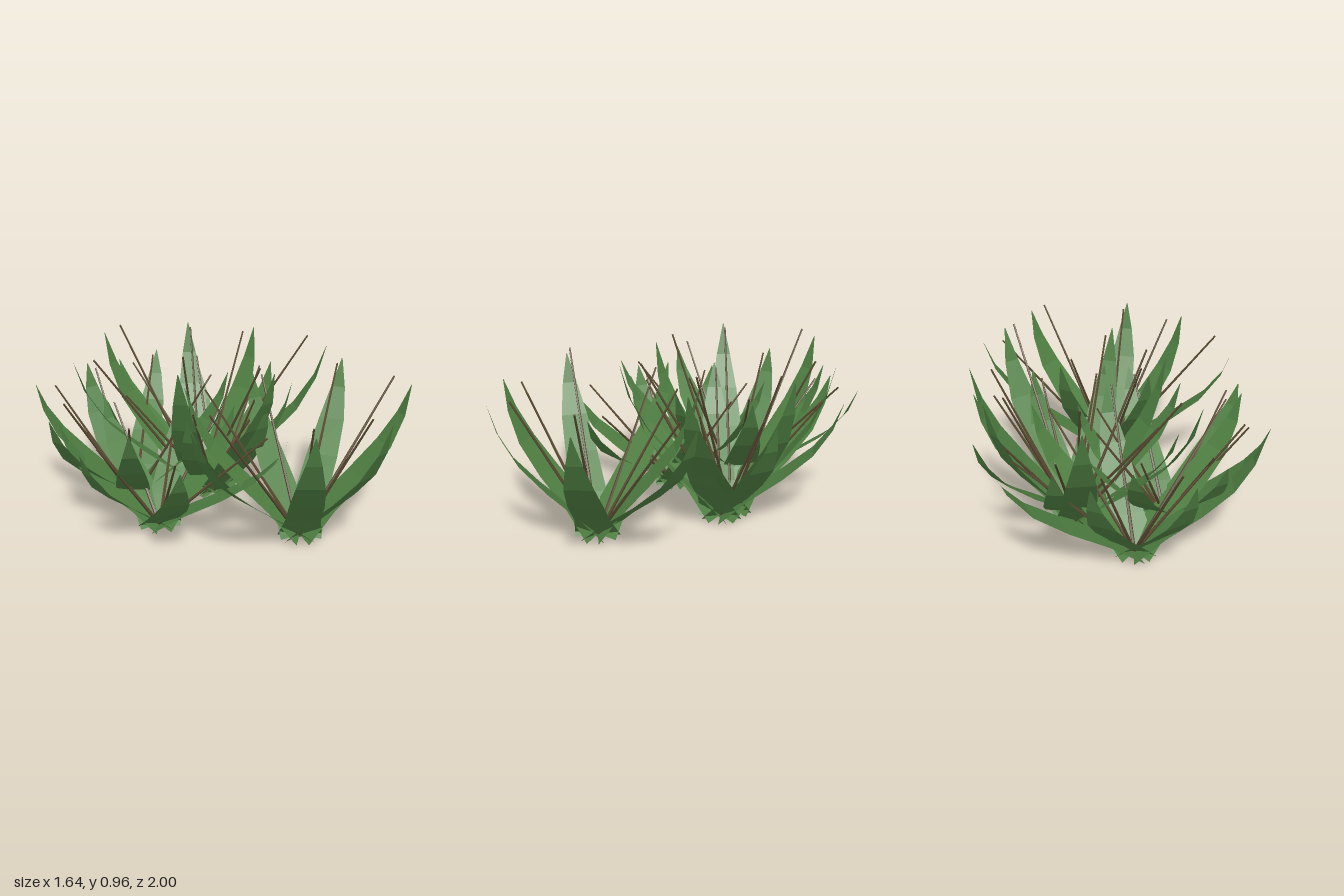
import * as THREE from 'three';

const leafMat = new THREE.MeshStandardMaterial({ color: 0x4f7f42, flatShading: true, side: THREE.DoubleSide });
const stalkMat = new THREE.MeshStandardMaterial({ color: 0x5a4a32, flatShading: true });

// Five tufts: centre, height and the ground position [x, z] below each leaf tip;
// a third value raises the stalk above the leaf
const TUFTS = [
  { x: 0.16, z: 0.48, h: 0.8, tips: [[0.82, 0.2], [0.71, 0.74, 0.06], [0.16, 1], [-0.21, 0.85], [-0.57, 0.42, 0.06], [-0.18, -0.05], [0.3, -0.03]] },
  { x: -0.3, z: -0.14, h: 0.6, tips: [[-0.82, -0.1], [-0.61, 0.39], [0.04, 0.48], [0.2, -0.06], [0.12, -0.4], [-0.23, -0.68], [-0.65, -0.53]] },
  { x: 0.16, z: -0.29, h: 0.9, tips: [[0.67, -0.36], [0.68, 0.19, 0.06], [0.1, 0.32], [-0.26, -0.01, 0.06], [-0.52, -0.54], [-0.05, -0.89, 0.06], [0.46, -0.72]] },
  { x: -0.2, z: -0.48, h: 0.7, tips: [[-0.81, -0.36, 0.06], [-0.55, -0.88], [-0.11, -1], [0.37, -0.92], [0.38, -0.29], [0.06, 0, 0.06], [-0.65, 0.07]] },
  { x: 0.2, z: -0.21, h: 0.7, tips: [[0.71, -0.25], [0.52, -0.74], [0.08, -0.93], [-0.4, -0.43], [-0.32, 0.12], [0.13, 0.25], [0.5, 0.1]] },
];

// Blade cross-sections from base to tip: share of the reach, half width
const REACH = [0, 0.25, 0.53, 0.77, 0.92, 1];
const HALF_WIDTH = [0.12, 0.092, 0.088, 0.072, 0.04, 0.002];
const BASE_Y = 0.015;

// Flat ribbon curving outwards along +x and then upwards
function leafGeometry(reach, height) {
  const pos = [], index = [];
  REACH.forEach((f, i) => {
    const y = BASE_Y + (height - BASE_Y) * i / (REACH.length - 1);
    pos.push(f * reach, y, HALF_WIDTH[i], f * reach, y, -HALF_WIDTH[i]);
    if (i > 0) {
      const a = 2 * (i - 1);
      index.push(a, a + 1, a + 2, a + 1, a + 3, a + 2);
    }
  });
  const geo = new THREE.BufferGeometry();
  geo.setAttribute('position', new THREE.Float32BufferAttribute(pos, 3));
  geo.setIndex(index);
  geo.computeVertexNormals();
  return geo;
}

// Thin straight stalk on the inner side of a leaf, ending short of its tip
function stalk(reach, height) {
  const start = new THREE.Vector3(0, 0.01, 0);
  const dir = new THREE.Vector3(reach - 0.11, height, 0).sub(start);
  const mesh = new THREE.Mesh(new THREE.CylinderGeometry(0.005, 0.01, dir.length(), 5), stalkMat);
  mesh.position.copy(start).addScaledVector(dir, 0.5);
  mesh.quaternion.setFromUnitVectors(new THREE.Vector3(0, 1, 0), dir.normalize());
  mesh.name = 'stalk';
  return mesh;
}

export function createModel() {
  const model = new THREE.Group();
  model.name = 'plantCluster';
  for (const { x, z, h, tips } of TUFTS) {
    const tuft = new THREE.Group();
    tuft.name = 'tuft';
    tuft.position.set(x, 0, z);
    for (const [tx, tz, raise = 0] of tips) {
      const dx = tx - x, dz = tz - z, reach = Math.hypot(dx, dz);
      const frond = new THREE.Group();
      frond.name = 'frond';
      frond.rotation.y = -Math.atan2(dz, dx);
      const leaf = new THREE.Mesh(leafGeometry(reach, h), leafMat);
      leaf.name = 'leaf';
      frond.add(leaf, stalk(reach, h + raise));
      tuft.add(frond);
    }
    model.add(tuft);
  }
  return model;
}
